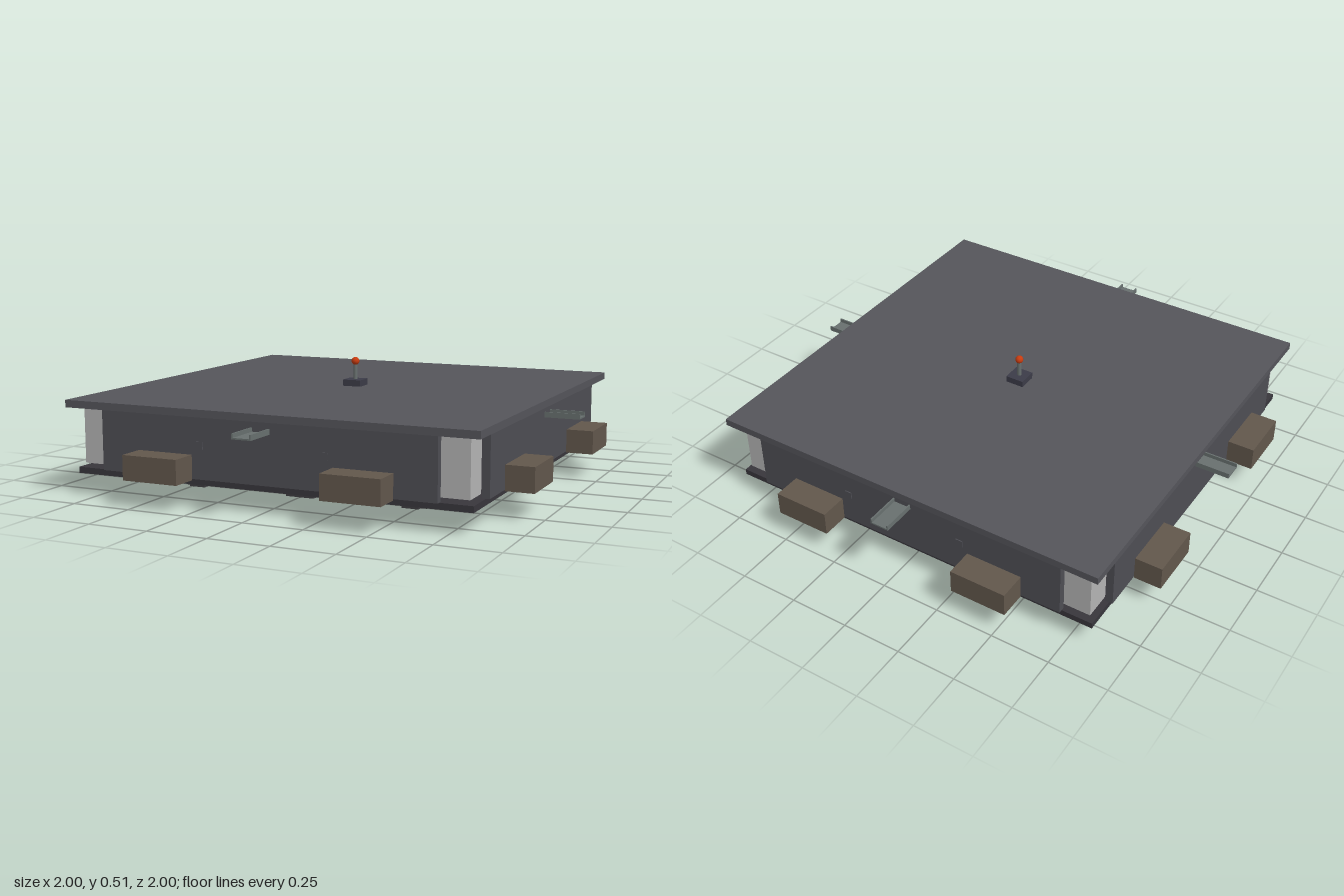
import * as THREE from 'three';

const mat = (color) => new THREE.MeshStandardMaterial({ color });
const M = {
  roof: mat(0x55555b), wall: mat(0x4e4e54), base: mat(0x38363c), rail: mat(0x3e3c40),
  crate: mat(0x62574c), lamp: mat(0xb4b4b4), chute: mat(0x68706f), mount: mat(0x3c3c48), knob: mat(0xc83c10),
};

// Box given by its min and max corners
function box(parent, name, material, [x0, y0, z0], [x1, y1, z1]) {
  const m = new THREE.Mesh(new THREE.BoxGeometry(x1 - x0, y1 - y0, z1 - z0), material);
  m.position.set((x0 + x1) / 2, (y0 + y1) / 2, (z0 + z1) / 2);
  m.name = name;
  parent.add(m);
  return m;
}

// One side of the pad, facing +z
function makeSide(withStuds) {
  const g = new THREE.Group();
  box(g, 'wall', M.wall, [-0.71, 0.11, 0.825], [0.71, 0.355, 0.855]);

  // U-shaped chute through the wall
  box(g, 'chuteFloor', M.chute, [-0.04, 0.308, 0.83], [0.04, 0.314, 1]);
  for (const s of [-1, 1]) {
    box(g, 'chuteLip', M.chute, [s * 0.037 - 0.003, 0.314, 0.83], [s * 0.037 + 0.003, 0.33, 1]);
    box(g, 'crate', M.crate, [s * 0.42 - 0.12, 0.105, 0.855], [s * 0.42 + 0.12, 0.205, 0.97]);
    if (withStuds) {
      box(g, 'stud', M.wall, [s * 0.265 - 0.015, 0.228, 0.85], [s * 0.265 + 0.015, 0.258, 0.859]);
    }
    // Posts between lower rail and base plate
    box(g, 'railPost', M.rail, [s * 0.318 - 0.033, 0.05, 0.455], [s * 0.318 + 0.033, 0.088, 0.505]);
    // Raised clamp near the corner
    box(g, 'railClamp', M.rail, [s * 0.475 - 0.035, 0, 0.44], [s * 0.475 + 0.035, 0.055, 0.535]);
  }

  // Lower rail with its middle clamp
  box(g, 'rail', M.rail, [-0.48, 0, 0.455], [0.48, 0.055, 0.505]);
  box(g, 'middleClamp', M.rail, [-0.062, 0, 0.445], [0.062, 0.055, 0.535]);

  // Corner lamp, its foot and the rail corner post
  box(g, 'cornerLamp', M.lamp, [0.705, 0.125, 0.705], [0.82, 0.355, 0.82]);
  box(g, 'lampFoot', M.base, [0.7, 0.11, 0.7], [0.755, 0.125, 0.755]);
  box(g, 'cornerPost', M.rail, [0.44, 0, 0.44], [0.508, 0.088, 0.508]);
  return g;
}

export function createModel() {
  const model = new THREE.Group();
  model.name = 'squarePad';

  // Plates
  box(model, 'roofPlate', M.roof, [-0.873, 0.355, -0.873], [0.873, 0.385, 0.873]);
  box(model, 'basePlate', M.base, [-0.84, 0.085, -0.84], [0.84, 0.11, 0.84]);

  // Four identical sides
  ['front', 'left', 'back', 'right'].forEach((label, i) => {
    const side = makeSide(i % 2 === 0);
    side.name = label + 'Side';
    side.rotation.y = i * Math.PI / 2;
    model.add(side);
  });

  // Hub under the middle
  box(model, 'hub', M.rail, [-0.038, 0.005, -0.038], [0.038, 0.055, 0.038]);
  box(model, 'hubPin', M.rail, [-0.01, 0.05, -0.01], [0.01, 0.088, 0.01]);

  // Roof lever
  box(model, 'leverMount', M.mount, [-0.04, 0.385, -0.04], [0.04, 0.412, 0.04]);
  const rod = new THREE.Mesh(new THREE.CylinderGeometry(0.009, 0.009, 0.075, 12), M.chute);
  rod.name = 'leverRod';
  rod.position.y = 0.447;
  const knob = new THREE.Mesh(new THREE.SphereGeometry(0.017, 16, 12), M.knob);
  knob.name = 'leverKnob';
  knob.position.y = 0.49;
  model.add(rod, knob);

  return model;
}
